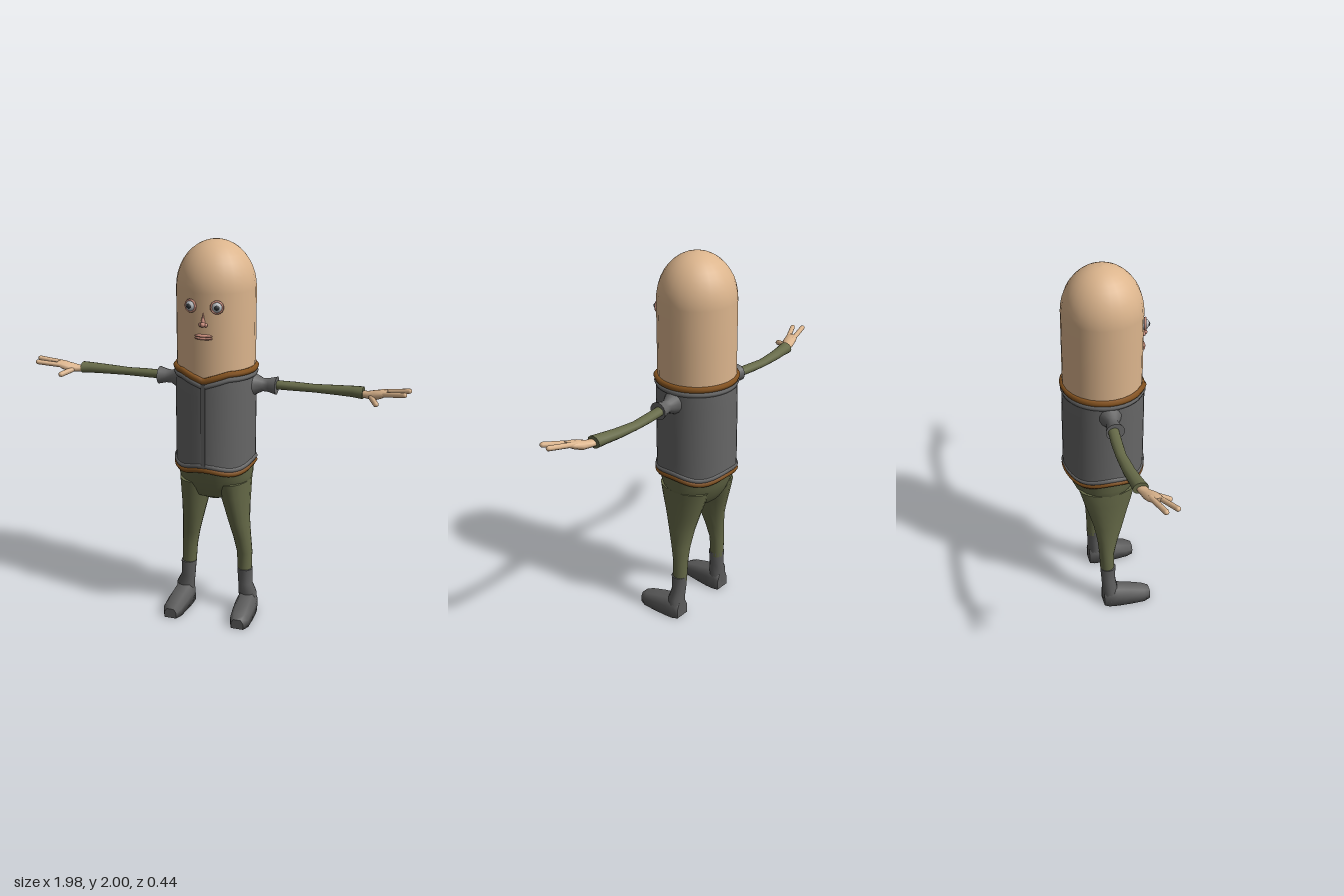
import * as THREE from 'three';

const mat = (color) => new THREE.MeshStandardMaterial({ color, side: THREE.DoubleSide });
const V = (x, y, z) => new THREE.Vector3(x, y, z);

// Elliptical ring around an axis; a and b are the half sizes, bend(angle) shifts y
function ring(axis, [cx, cy, cz, a, b], n, bend = () => 0) {
  return Array.from({ length: n }, (_, i) => {
    const t = (i / n) * Math.PI * 2, s = Math.sin(t), c = Math.cos(t);
    if (axis === 'y') return V(cx + a * s, cy + bend(t), cz + b * c);
    if (axis === 'x') return V(cx, cy + a * c, cz + b * s);
    return V(cx + a * c, cy + b * s, cz);
  });
}

// Skin through rings in ascending axis order, with flat end caps
function loft(rings) {
  const n = rings[0].length, pos = [], idx = [];
  const put = (p) => pos.push(p.x, p.y, p.z) / 3 - 1;
  rings.forEach((r) => r.forEach(put));
  for (let i = 0; i < rings.length - 1; i++)
    for (let j = 0; j < n; j++) {
      const k = (j + 1) % n, a = i * n + j, b = i * n + k;
      idx.push(a, b, b + n, a, b + n, a + n);
    }
  [rings[0], rings[rings.length - 1]].forEach((r, end) => {
    const mid = put(r.reduce((s, p) => s.add(p), V(0, 0, 0)).divideScalar(n));
    const first = r.map(put)[0];
    for (let j = 0; j < n; j++) {
      const a = first + j, b = first + ((j + 1) % n);
      if (end) idx.push(mid, a, b); else idx.push(mid, b, a);
    }
  });
  const g = new THREE.BufferGeometry();
  g.setAttribute('position', new THREE.Float32BufferAttribute(pos, 3));
  g.setIndex(idx);
  g.computeVertexNormals();
  return g;
}

export function createModel() {
  const root = new THREE.Group();
  root.name = 'figure';
  const skin = mat(0xdcb58d), vest = mat(0x666666), green = mat(0x666a48), trim = mat(0x85531f);
  const boot = mat(0x5c5c5c), pink = mat(0xc98d7c), white = mat(0xb9bcc0), dark = mat(0x2c3034);

  const add = (parent, name, geometry, material, x = 0, y = 0, z = 0) => {
    const m = new THREE.Mesh(geometry, material);
    m.name = name;
    m.position.set(x, y, z);
    parent.add(m);
    return m;
  };
  const skinned = (parent, name, axis, rows, n, material) =>
    add(parent, name, loft(rows.map((r) => ring(axis, r, n))), material);
  const limb = (parent, name, a, b, r, material) => {
    const d = b.clone().sub(a), c = a.clone().add(b).multiplyScalar(0.5);
    const m = add(parent, name, new THREE.CapsuleGeometry(r, d.length() - r, 4, 8), material, c.x, c.y, c.z);
    m.quaternion.setFromUnitVectors(V(0, 1, 0), d.normalize());
    return m;
  };

  // Head: straight column with a tall dome
  const profile = [new THREE.Vector2(0.2, 1.3), new THREE.Vector2(0.2, 1.55)];
  for (let i = 0; i <= 10; i++) {
    const t = (i / 10) * Math.PI / 2;
    profile.push(new THREE.Vector2(0.2 * Math.cos(t), 1.765 + 0.235 * Math.sin(t)));
  }
  add(root, 'head', new THREE.LatheGeometry(profile, 24), skin, 0, 0, -0.005);

  // Vest: pointed dip at the front of the neck, wavy hem
  const neck = (t) => -0.035 * Math.max(0, 1 - Math.min(t, Math.PI * 2 - t) / 0.6);
  const hem = (t) => 0.012 * Math.cos(4 * t);
  const c = -0.002;
  add(root, 'vest', loft([
    ring('y', [0, 0.865, c, 0.207, 0.21], 40, hem),
    ring('y', [0, 0.95, c, 0.206, 0.21], 40),
    ring('y', [0, 1.25, c, 0.206, 0.209], 40),
    ring('y', [0, 1.355, c, 0.203, 0.205], 40, neck),
  ]), vest);
  const band = (name, y, r, tube, bend, material) => {
    const curve = new THREE.CatmullRomCurve3(ring('y', [0, y, c, r, r], 40, bend), true);
    add(root, name, new THREE.TubeGeometry(curve, 80, tube, 6, true), material);
  };
  band('neckTrim', 1.368, 0.2, 0.017, neck, trim);
  band('collar', 1.34, 0.2, 0.014, neck, vest);
  band('vestHem', 0.877, 0.202, 0.014, hem, vest);
  band('hemTrim', 0.855, 0.2, 0.016, hem, trim);
  add(root, 'vestSeam', new THREE.BoxGeometry(0.02, 0.44, 0.012), boot, 0, 1.1, 0.207);

  // Trouser seat
  skinned(root, 'trouserSeat', 'y', [
    [0, 0.66, -0.01, 0.06, 0.07],
    [0, 0.685, -0.008, 0.15, 0.115],
    [0, 0.74, -0.008, 0.182, 0.15],
    [0, 0.8, -0.003, 0.196, 0.182],
    [0, 0.87, 0, 0.2, 0.2],
  ], 24, green);

  // Face
  add(root, 'nose', new THREE.ConeGeometry(0.015, 0.07, 8), pink, 0, 1.645, 0.2);
  add(root, 'noseTip', new THREE.SphereGeometry(0.013, 10, 8), pink, 0, 1.618, 0.209);
  for (const s of [-1, 1])
    add(root, 'nostril', new THREE.SphereGeometry(0.01, 8, 6), pink, s * 0.014, 1.615, 0.2);
  for (const [name, y, h] of [['upperLip', 1.56, 0.008], ['lowerLip', 1.548, 0.008]])
    add(root, name, new THREE.SphereGeometry(1, 12, 8), pink, 0, y, 0.194).scale.set(0.047, h, 0.014);

  for (const side of [1, -1]) {
    const half = new THREE.Group();
    half.name = side > 0 ? 'leftSide' : 'rightSide';
    half.scale.x = side;
    root.add(half);

    // Eye: ball, lid ring, iris, facing slightly outwards
    const eye = new THREE.Group();
    eye.name = 'eye';
    eye.position.set(0.065, 1.703, 0.182);
    eye.rotation.y = 0.25;
    half.add(eye);
    add(eye, 'eyeball', new THREE.SphereGeometry(0.028, 14, 10), white);
    add(eye, 'eyelid', new THREE.TorusGeometry(0.028, 0.006, 6, 18), pink, 0, 0, 0.008);
    add(eye, 'iris', new THREE.SphereGeometry(0.015, 12, 8), dark, 0, 0, 0.017);

    // Leg, narrowing to the ankle
    skinned(half, 'trouserLeg', 'y', [
      [0.158, 0.22, -0.017, 0.037, 0.038],
      [0.155, 0.34, -0.02, 0.042, 0.04],
      [0.143, 0.43, -0.012, 0.047, 0.055],
      [0.127, 0.53, -0.004, 0.056, 0.08],
      [0.116, 0.62, -0.004, 0.067, 0.106],
      [0.108, 0.69, -0.004, 0.077, 0.128],
      [0.098, 0.77, -0.004, 0.09, 0.15],
    ], 16, green);

    // Boot: shaft and wedge-shaped foot
    skinned(half, 'bootShaft', 'y', [
      [0.18, 0.03, -0.01, 0.052, 0.038],
      [0.177, 0.11, -0.008, 0.05, 0.042],
      [0.163, 0.16, -0.012, 0.039, 0.039],
      [0.16, 0.245, -0.014, 0.042, 0.043],
    ], 12, boot);
    const foot = [[-0.045, 0.175, 0.04, 0.09], [-0.02, 0.178, 0.052, 0.12], [0.03, 0.18, 0.056, 0.105],
      [0.1, 0.184, 0.055, 0.09], [0.18, 0.188, 0.05, 0.068], [0.218, 0.187, 0.033, 0.052]];
    add(half, 'bootFoot', loft(foot.map(([z, x, w, h]) =>
      [[1, 0], [1, 0.6], [0.6, 1], [-0.6, 1], [-1, 0.6], [-1, 0]].map(([u, v]) => V(x + u * w, v * h, z)))), boot);

    // Short flared sleeve of the vest
    skinned(half, 'vestSleeve', 'x', [
      [0.17, 1.28, -0.01, 0.075, 0.075],
      [0.205, 1.28, -0.012, 0.055, 0.05],
      [0.245, 1.28, -0.016, 0.034, 0.03],
      [0.275, 1.28, -0.019, 0.036, 0.034],
      [0.315, 1.28, -0.02, 0.046, 0.048],
    ], 14, vest);

    // Arm with a wide cuff
    skinned(half, 'arm', 'x', [
      [0.29, 1.282, -0.026, 0.023, 0.027],
      [0.4, 1.28, -0.036, 0.023, 0.028],
      [0.5, 1.278, -0.041, 0.021, 0.026],
      [0.62, 1.281, -0.036, 0.025, 0.03],
      [0.7, 1.284, -0.027, 0.028, 0.033],
      [0.752, 1.284, -0.02, 0.031, 0.038],
    ], 12, green);

    // Hand: palm, two fingers and thumb
    skinned(half, 'palm', 'x', [
      [0.73, 1.28, -0.02, 0.017, 0.024],
      [0.775, 1.28, -0.007, 0.018, 0.026],
      [0.81, 1.285, 0.008, 0.025, 0.036],
      [0.85, 1.298, 0.016, 0.021, 0.036],
      [0.875, 1.306, 0.022, 0.013, 0.03],
    ], 12, skin);
    limb(half, 'finger', V(0.84, 1.303, -0.003), V(0.985, 1.328, 0.028), 0.013, skin);
    limb(half, 'finger', V(0.84, 1.298, 0.03), V(0.97, 1.322, 0.086), 0.013, skin);
    limb(half, 'thumb', V(0.795, 1.278, 0.02), V(0.835, 1.264, 0.095), 0.014, skin);
  }
  return root;
}
